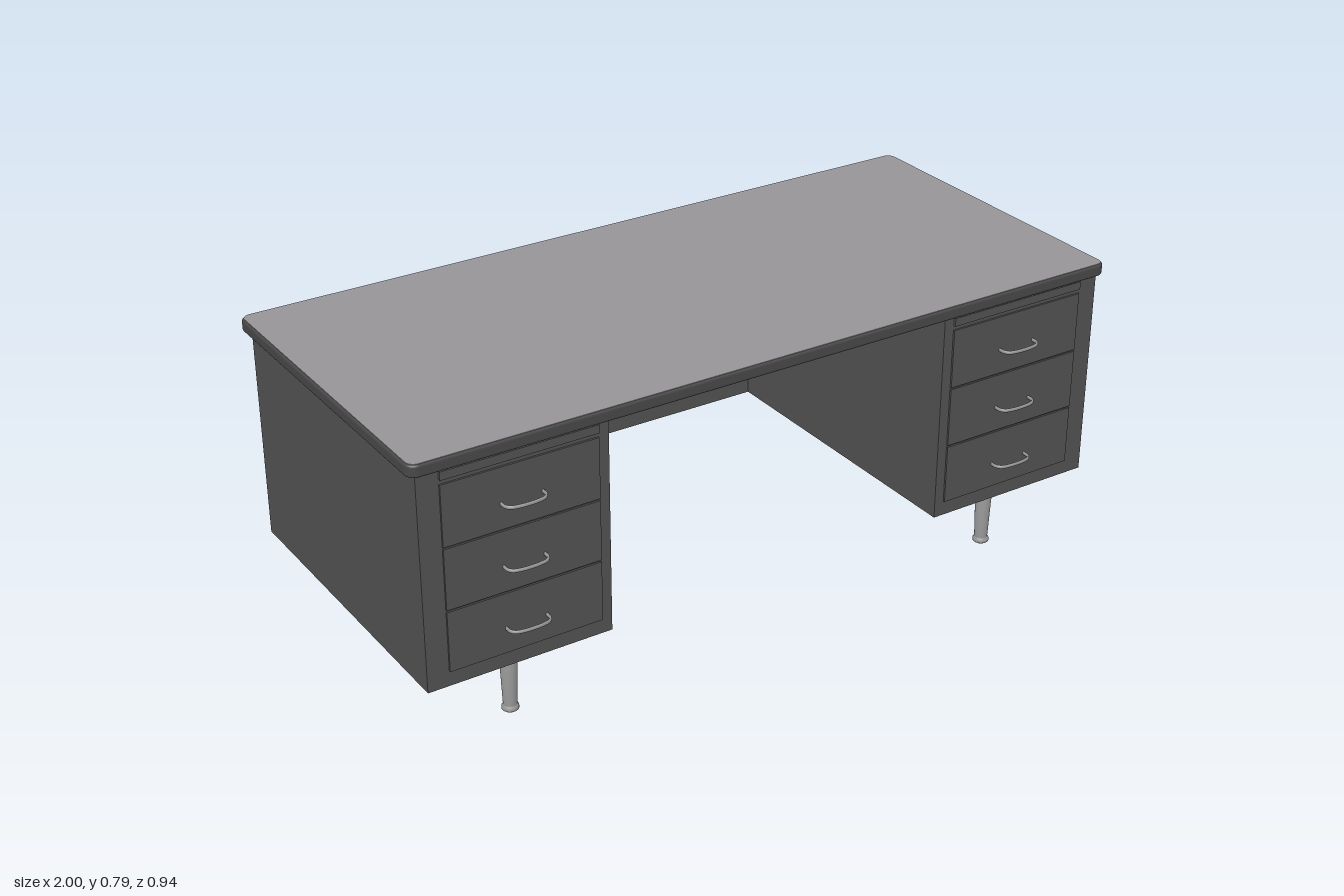
import * as THREE from 'three';

const body = new THREE.MeshStandardMaterial({ color: 0x525252 });
body.name = 'charcoal body';
const laminate = new THREE.MeshStandardMaterial({ color: 0x979498 });
laminate.name = 'grey laminate';
const trim = new THREE.MeshStandardMaterial({ color: 0x484848 });
trim.name = 'dark edge trim';
const metal = new THREE.MeshStandardMaterial({ color: 0x989898 });
metal.name = 'brushed metal';

function add(parent, name, geometry, material, x = 0, y = 0, z = 0) {
  const mesh = new THREE.Mesh(geometry, material);
  mesh.name = name;
  mesh.position.set(x, y, z);
  parent.add(mesh);
  return mesh;
}

// Box given by its minimum and maximum on each axis
function box(parent, name, [x0, x1], [y0, y1], [z0, z1], material) {
  return add(parent, name, new THREE.BoxGeometry(x1 - x0, y1 - y0, z1 - z0), material,
    (x0 + x1) / 2, (y0 + y1) / 2, (z0 + z1) / 2);
}

function roundedRect(w, d, r) {
  const s = new THREE.Shape();
  const x = w / 2, y = d / 2;
  s.absarc(x - r, y - r, r, 0, Math.PI / 2);
  s.absarc(-x + r, y - r, r, Math.PI / 2, Math.PI);
  s.absarc(-x + r, -y + r, r, Math.PI, Math.PI * 1.5);
  s.absarc(x - r, -y + r, r, Math.PI * 1.5, Math.PI * 2);
  s.closePath();
  return s;
}

// Desktop: soft-edged slab with a laminate sheet on top
function makeDesktop() {
  const g = new THREE.Group();
  g.name = 'desktop';
  const b = 0.007;
  const slab = new THREE.ExtrudeGeometry(roundedRect(2 - 2 * b, 0.913 - 2 * b, 0.02), {
    depth: 0.033 - 2 * b, bevelSize: b, bevelThickness: b, bevelSegments: 4, curveSegments: 6,
  });
  slab.rotateX(-Math.PI / 2);
  add(g, 'desktopEdge', slab, trim, 0, 0.755 + b, -0.0135);
  const sheet = new THREE.ExtrudeGeometry(roundedRect(1.99, 0.903, 0.022), {
    depth: 0.002, bevelEnabled: false, curveSegments: 6,
  });
  sheet.rotateX(-Math.PI / 2);
  add(g, 'desktopSheet', sheet, laminate, 0, 0.787, -0.0135);
  return g;
}

// Bowed drawer pull, flattened in height
function makeHandle() {
  const path = new THREE.CatmullRomCurve3([
    [-0.054, 0], [-0.053, 0.016], [-0.045, 0.027], [-0.022, 0.033],
    [0, 0.034], [0.022, 0.033], [0.045, 0.027], [0.053, 0.016], [0.054, 0],
  ].map(([x, z]) => new THREE.Vector3(x, 0, z)));
  const geo = new THREE.TubeGeometry(path, 32, 0.0035, 8);
  geo.scale(1, 1.5, 1);
  return geo;
}

// Pedestal with writing slide and three drawers
function makePedestal(side) {
  const g = new THREE.Group();
  g.name = side > 0 ? 'leftPedestal' : 'rightPedestal';
  const span = (a, b) => (side > 0 ? [a, b] : [-b, -a]);
  box(g, 'cabinet', span(0.487, 0.98), [0.187, 0.757], [-0.44, 0.428], body);
  box(g, 'writingSlide', span(0.515, 0.923), [0.729, 0.751], [0.4, 0.435], body);
  const handle = makeHandle();
  for (let i = 0; i < 3; i++) {
    const y = 0.227 + i * 0.165;
    box(g, 'drawerFront', span(0.515, 0.923), [y, y + 0.16], [0.4, 0.433], body);
    add(g, 'drawerHandle', handle, metal, side * 0.72, 0.295 + i * 0.165, 0.434);
  }
  return g;
}

// Tapered leg with mounting plate and rounded foot
function makeLeg(x, z) {
  const g = new THREE.Group();
  g.name = 'leg';
  const profile = [
    [0, 0], [0.018, 0], [0.0215, 0.003], [0.0215, 0.01], [0.018, 0.014],
    [0.0175, 0.017], [0.0235, 0.184], [0, 0.184],
  ].map(([r, y]) => new THREE.Vector2(r, y));
  add(g, 'legShaft', new THREE.LatheGeometry(profile, 24), metal);
  add(g, 'legPlate', new THREE.BoxGeometry(0.095, 0.006, 0.095), metal, 0, 0.185, 0);
  g.position.set(x, 0, z);
  return g;
}

export function createModel() {
  const desk = new THREE.Group();
  desk.name = 'desk';
  desk.add(makeDesktop(), makePedestal(1), makePedestal(-1));
  // Full-height panel closing the back of the kneehole
  box(desk, 'modestyPanel', [-0.488, 0.488], [0.187, 0.757], [-0.44, -0.425], body);
  for (const x of [-0.725, 0.725]) {
    for (const z of [0.343, -0.35]) desk.add(makeLeg(x, z));
  }
  return desk;
}
